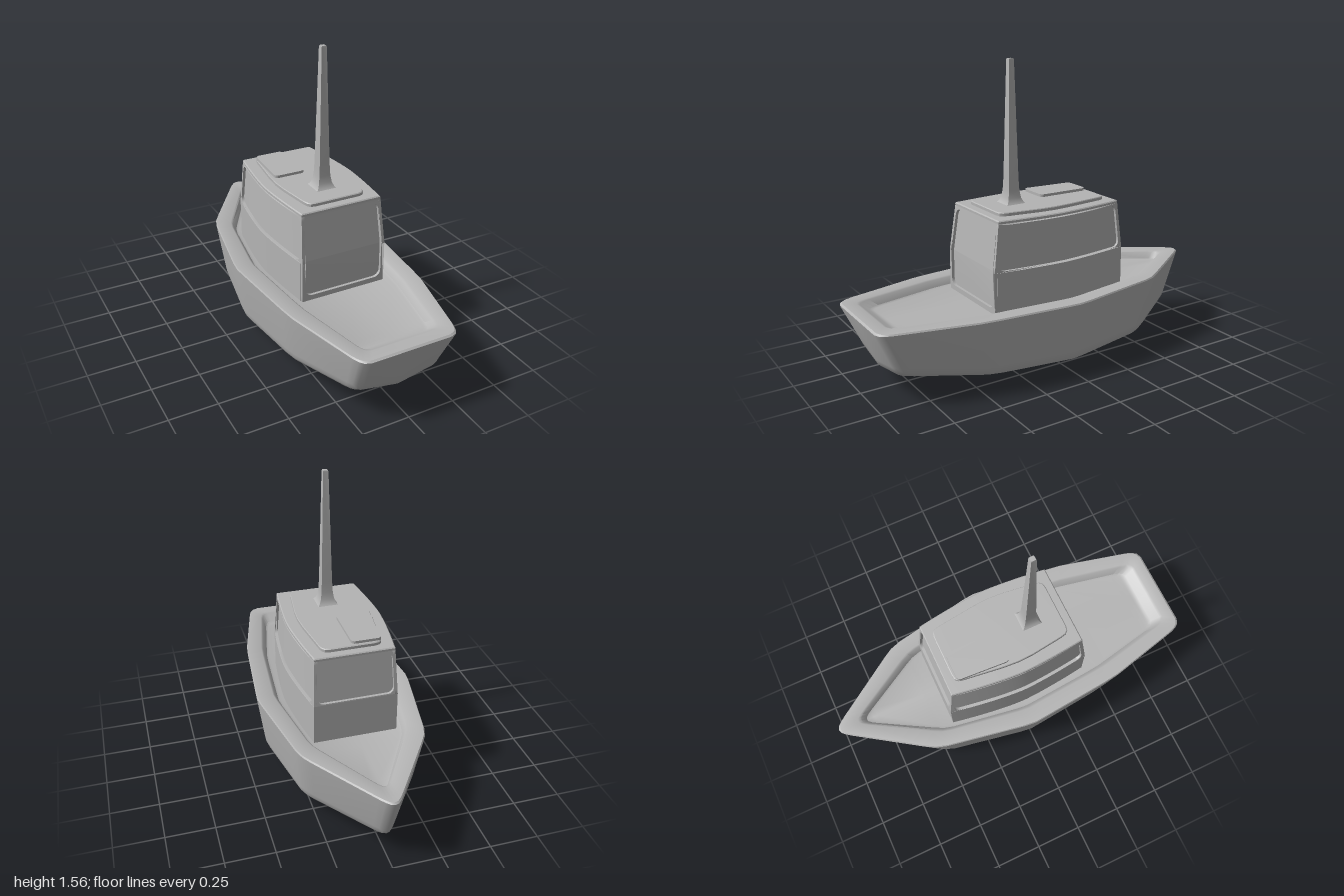
import * as THREE from 'three';
import { toCreasedNormals } from 'three/addons/utils/BufferGeometryUtils.js';

const lerp = THREE.MathUtils.lerp;

// Skin a stack of closed rings, each listed bow to stern on the left, then back on the right
function loft(rings, crease = 0.6) {
  const out = [];
  const tri = (a, b, c) => {
    const area = b.clone().sub(a).cross(c.clone().sub(a)).length();
    if (area > 1e-9) for (const p of [a, b, c]) out.push(p.x, p.y, p.z);
  };
  for (let j = 0; j + 1 < rings.length; j++) {
    const lo = rings[j], hi = rings[j + 1], n = lo.length;
    for (let i = 0; i < n; i++) {
      const k = (i + 1) % n;
      tri(lo[i], hi[i], hi[k]);
      tri(lo[i], hi[k], lo[k]);
    }
  }
  const geo = new THREE.BufferGeometry();
  geo.setAttribute('position', new THREE.Float32BufferAttribute(out, 3));
  return toCreasedNormals(geo, crease);
}

// Turn a half outline of Vector3 into a full mirrored ring
const mirrorRing = (half) =>
  [...half, ...half.slice().reverse().map((p) => new THREE.Vector3(-p.x, p.y, p.z))];

// Rounded rectangle outline with subdivided straight edges
function roundedOutline(u0, u1, v0, v1, ru, rv, steps = 10) {
  const pts = [];
  const corners = [[u1 - ru, v0 + rv, -1], [u1 - ru, v1 - rv, 0], [u0 + ru, v1 - rv, 1], [u0 + ru, v0 + rv, 2]];
  corners.forEach(([cu, cv, q], i) => {
    for (let s = 0; s <= 5; s++) {
      const a = (q + s / 5) * Math.PI / 2;
      pts.push(new THREE.Vector2(cu + ru * Math.cos(a), cv + rv * Math.sin(a)));
    }
    const last = pts[pts.length - 1];
    const [nu, nv, nq] = corners[(i + 1) % 4];
    const a = nq * Math.PI / 2;
    const next = new THREE.Vector2(nu + ru * Math.cos(a), nv + rv * Math.sin(a));
    for (let s = 1; s < steps; s++) pts.push(last.clone().lerp(next, s / steps));
  });
  return pts;
}

// Hull: gunwale half outline as [x, z]
const GUNWALE = [
  [0, -1], [0.018, -0.995], [0.038, -0.975], [0.06, -0.945], [0.285, -0.61], [0.315, -0.56], [0.335, -0.5],
  [0.348, -0.43], [0.415, -0.07], [0.423, 0], [0.417, 0.07], [0.382, 0.45], [0.37, 0.54],
  [0.275, 0.93], [0.262, 0.965], [0.245, 0.988], [0.215, 1], [0, 1],
];

function bottomY(x, z) {
  const a = Math.abs(z);
  const keel = a < 0.45 ? 0.05 * a : 0.0225 + 0.19 * (a - 0.45);
  return keel + 0.19 * Math.abs(x);
}

function hullGeometry() {
  const ring = (sx, sBow, sStern, height) => mirrorRing(GUNWALE.map(([x, z]) => {
    const px = x * sx, pz = z * (z < 0 ? sBow : sStern);
    return new THREE.Vector3(px, height(px, pz), pz);
  }));
  const even = (s, h) => ring(s, s, s, h);
  return loft([
    ring(0, 0.85, 0.85, bottomY),
    ring(0.84, 0.85, 0.85, bottomY),
    even(0.88, (x, z) => bottomY(x, z) + 0.004),
    even(0.903, (x, z) => bottomY(x, z) + 0.02),
    even(0.914, (x, z) => bottomY(x, z) + 0.045),
    even(0.998, () => 0.375),
    even(1, () => 0.383),
    even(0.99, () => 0.39),
    ring(0.79, 0.885, 0.93, () => 0.39),
    ring(0.765, 0.868, 0.915, () => 0.384),
    ring(0.72, 0.84, 0.87, () => 0.35),
    ring(0.69, 0.82, 0.85, () => 0.345),
    ring(0, 0.82, 0.85, () => 0.345),
  ]);
}

// Cabin wall rules: slope above the sill, sides bowed out amidships
const SILL = 0.56, EAVE = 0.8, INSET = 0.015;
const rise = (y) => THREE.MathUtils.clamp((y - SILL) / (EAVE - SILL), 0, 1);
const bowZ = (y) => lerp(-0.413, -0.388, rise(y));
const sternZ = (y) => lerp(0.378, 0.346, rise(y));
const halfWidth = (z, y) =>
  (0.27 - (z < 0 ? 0.05 : 0.038) * Math.pow(Math.abs(z) / 0.4, 1.5)) * (1 - 0.075 * rise(y));

function cabinRing(y, side, bow, stern, sx = 1) {
  const half = [];
  for (let i = 0; i <= 20; i++) {
    const z = lerp(bowZ(y) + bow, sternZ(y) - stern, i / 20);
    half.push(new THREE.Vector3((halfWidth(z, y) - side) * sx, y, z));
  }
  return mirrorRing(half);
}

// Raised frame around a recessed pane; place() bends it onto a wall
function frameGeometry(v0, hole, place) {
  const shape = new THREE.Shape(roundedOutline(-1, 1, v0, EAVE, 0.001, 0.0001));
  shape.holes.push(new THREE.Path(roundedOutline(...hole)));
  const geo = new THREE.ExtrudeGeometry(shape, { depth: INSET, bevelEnabled: false });
  const pos = geo.attributes.position;
  for (let i = 0; i < pos.count; i++) {
    pos.setXYZ(i, ...place(pos.getX(i), pos.getY(i), pos.getZ(i) - INSET));
  }
  return toCreasedNormals(geo, 0.6);
}

export function createModel() {
  const boat = new THREE.Group();
  boat.name = 'boat';
  const grey = new THREE.MeshStandardMaterial({ color: 0xb4b4b4 });
  grey.name = 'plainGrey';
  const add = (name, geo) => {
    const mesh = new THREE.Mesh(geo, grey);
    mesh.name = name;
    boat.add(mesh);
    return mesh;
  };

  add('hull', hullGeometry());

  // Cabin core: walls, recessed panes and flat roof
  add('cabin', loft([
    cabinRing(0.33, 0, 0, INSET),
    cabinRing(SILL, 0, 0, INSET),
    cabinRing(SILL + 0.001, INSET, INSET, INSET),
    cabinRing(EAVE - 0.001, INSET, INSET, INSET),
    cabinRing(EAVE, 0, 0, 0),
    cabinRing(0.811, 0, 0, 0),
    cabinRing(0.816, 0.005, 0.005, 0.005),
    cabinRing(0.816, 0.005, 0.005, 0.005, 0),
  ], 0.5));

  // Side window frames
  const sideHole = [-0.95, 0.95, 0.566, 0.793, 0.09, 0.035];
  for (const s of [1, -1]) {
    add(s > 0 ? 'leftWindowFrame' : 'rightWindowFrame', frameGeometry(SILL, sideHole, (u, y, d) => {
      const z = lerp(bowZ(y), sternZ(y), (1 - s * u) / 2);
      return [s * (halfWidth(z, y) + d), y, z];
    }));
  }

  // Windscreen frame and aft doorway frame
  add('windscreenFrame', frameGeometry(SILL, [-0.92, 0.92, 0.566, 0.793, 0.15, 0.035],
    (u, y, d) => [-u * halfWidth(bowZ(y), y), y, bowZ(y) - d]));
  add('aftDoorFrame', frameGeometry(0.33, [-0.92, 0.92, 0.372, 0.786, 0.16, 0.035],
    (u, y, d) => [u * halfWidth(sternZ(y), y), y, sternZ(y) + d]));

  // Raised roof panel
  const roofHalf = [
    [0.11, -0.345], [0.138, -0.34], [0.152, -0.325], [0.158, -0.3], [0.185, -0.09], [0.191, 0],
    [0.187, 0.08], [0.165, 0.25], [0.158, 0.28], [0.145, 0.295], [0.12, 0.3],
  ];
  const roofRing = (s, y, sx = 1) =>
    mirrorRing(roofHalf.map(([x, z]) => new THREE.Vector3(x * s * sx, y, z * s)));
  add('roofPanel', loft([roofRing(1, 0.812), roofRing(1, 0.83), roofRing(0.985, 0.834), roofRing(0.985, 0.834, 0)]));

  // Sliding hatch, slightly narrower towards the bow
  const hatchOutline = roundedOutline(-0.172, 0, 0.045, 0.33, 0.022, 0.022, 3);
  for (const p of hatchOutline) p.x *= 1 - 0.1 * (p.y - 0.045) / 0.285;
  const hatch = new THREE.ExtrudeGeometry(new THREE.Shape(hatchOutline), { depth: 0.02, bevelEnabled: false });
  hatch.rotateX(-Math.PI / 2);
  add('roofHatch', hatch).position.y = 0.828;

  // Square tapered mast with a flared foot
  const mastProfile = [
    [0.055, 0.832], [0.046, 0.842], [0.037, 0.862], [0.031, 0.9], [0.028, 0.96], [0.014, 1.555], [0.012, 1.563], [0, 1.564],
  ].map(([r, y]) => new THREE.Vector2(r * Math.SQRT2, y));
  const mast = new THREE.LatheGeometry(mastProfile, 4);
  mast.rotateY(Math.PI / 4);
  add('mast', toCreasedNormals(mast, 0.6)).position.z = 0.14;

  return boat;
}
